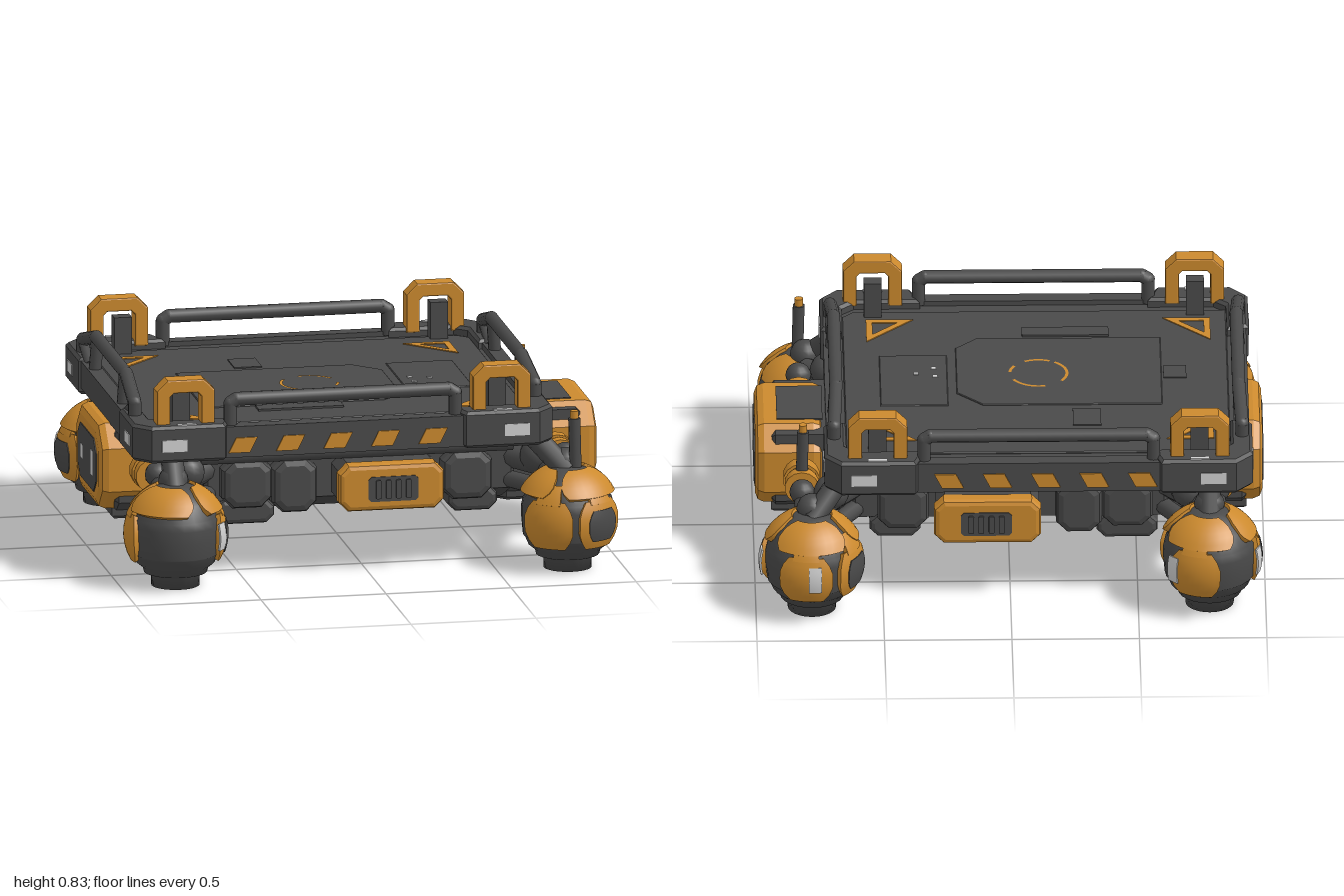
import * as THREE from 'three';

const mat = (name, color) => Object.assign(new THREE.MeshStandardMaterial({ color }), { name });

export function createModel() {
  const dark = mat('dark graphite', 0x4a4a4a);
  const orange = mat('safety orange', 0xcc8a2e);
  const light = mat('lamp white', 0xd2d2d2);
  const root = new THREE.Group();
  const CX = -0.11, SIGNS = [-1, 1];

  const add = (name, geo, m, parent = root) => {
    const mesh = new THREE.Mesh(geo, m);
    mesh.name = name;
    parent.add(mesh);
    return mesh;
  };
  const poly = pts => new THREE.Shape(pts.map(p => new THREE.Vector2(p[0], p[1])));
  // box given by its limits
  const box = (name, m, x0, x1, y0, y1, z0, z1, parent) => {
    const b = add(name, new THREE.BoxGeometry(x1 - x0, y1 - y0, z1 - z0), m, parent);
    b.position.set((x0 + x1) / 2, (y0 + y1) / 2, (z0 + z1) / 2);
    return b;
  };
  // extrusion of a plan outline given as [x, z], between two heights
  const plan = (name, m, pts, y0, y1, bevel = 0.012) => {
    const g = new THREE.ExtrudeGeometry(poly(pts.map(p => [p[0], -p[1]])), {
      depth: y1 - y0 - 2 * bevel, bevelEnabled: true, bevelSize: bevel, bevelThickness: bevel, bevelSegments: 1 });
    g.rotateX(-Math.PI / 2);
    g.translate(0, y0 + bevel, 0);
    return add(name, g, m);
  };
  const oct = (w, h, c) => [[-w + c, -h], [w - c, -h], [w, -h + c], [w, h - c], [w - c, h], [-w + c, h], [-w, h - c], [-w, -h + c]];
  // chamfered block facing +z, back at z = 0
  const block = (w, h, c, d, bevel) => {
    const g = new THREE.ExtrudeGeometry(poly(oct(w / 2 - bevel, h / 2 - bevel, c)), {
      depth: d - 2 * bevel, bevelEnabled: bevel > 0, bevelSize: bevel, bevelThickness: bevel, bevelSegments: 2 });
    return g.translate(0, 0, bevel);
  };
  // round bar between two points
  const bar = (name, m, a, b, r, parent, sides = 10) => {
    const A = new THREE.Vector3(...a), d = new THREE.Vector3(...b).sub(A);
    const t = add(name, new THREE.CylinderGeometry(r, r, d.length(), sides), m, parent);
    t.position.copy(A).addScaledVector(d, 0.5);
    t.quaternion.setFromUnitVectors(new THREE.Vector3(0, 1, 0), d.normalize());
    return t;
  };
  const rail = (name, pts, r) => pts.slice(1).forEach((p, i) => {
    bar(name, dark, pts[i], p, r);
    if (i) add(name + 'Joint', new THREE.SphereGeometry(r, 10, 8), dark).position.set(...pts[i]);
  });
  const ball = (name, m, r, x, y, z) => add(name, new THREE.SphereGeometry(r, 14, 10), m).position.set(x, y, z);

  // deck with raised panels
  box('deck', dark, -0.9, 0.68, 0.52, 0.615, -0.67, 0.67);
  plan('deckPlate', dark, [[-0.86, -0.6], [0.6, -0.6], [0.64, -0.56], [0.64, 0.56], [0.6, 0.6], [-0.86, 0.6]], 0.605, 0.622, 0.004);
  plan('centrePanel', dark, [[-0.6, -0.2], [0.1, -0.2], [0.2, -0.1], [0.2, 0.28], [0.12, 0.36], [-0.6, 0.36]], 0.615, 0.627, 0.003);
  plan('sidePanel', dark, [[0.24, -0.2], [0.5, -0.2], [0.5, 0.22], [0.24, 0.22]], 0.615, 0.626, 0.003);
  box('hatch', dark, -0.36, -0.25, 0.615, 0.627, -0.38, -0.24);
  box('hatch', dark, -0.7, -0.61, 0.615, 0.627, 0.02, 0.12);
  box('hatch', dark, -0.4, -0.06, 0.615, 0.63, 0.38, 0.45);

  // painted deck marks
  for (const sx of SIGNS) for (const sz of SIGNS) {
    const X = d => CX - 0.015 + sx * d, Z = d => 0.015 + sz * d;
    const tri = poly([[X(0.675), -Z(0.515)], [X(0.49), -Z(0.515)], [X(0.675), -Z(0.33)]]);
    tri.holes.push(new THREE.Path([[0.65, 0.49], [0.65, 0.39], [0.55, 0.49]].map(p => new THREE.Vector2(X(p[0]), -Z(p[1])))));
    const g = new THREE.ExtrudeGeometry(tri, { depth: 0.005, bevelEnabled: false });
    add('cornerTriangle', g.rotateX(-Math.PI / 2).translate(0, 0.621, 0), orange);
  }
  for (const [s, l] of [[0.5, 1.3], [2.5, 1.6], [4.3, 0.9], [5.7, 0.5]]) {
    const g = new THREE.RingGeometry(0.106, 0.118, 24, 1, s, l);
    add('deckRing', g.rotateX(-Math.PI / 2).translate(-0.12, 0.6285, 0.06), orange);
  }
  for (const [x, z] of [[0.285, 0.04], [0.36, 0.065], [0.29, 0.11]]) box('deckDot', light, x - 0.01, x + 0.01, 0.625, 0.629, z - 0.01, z + 0.01);

  // frame: corner bumpers, lamps, hoops
  for (const sx of SIGNS) for (const sz of SIGNS) {
    plan('cornerBumper', dark, [[0.828, 0.42], [0.828, 0.67], [0.77, 0.735], [0.49, 0.735], [0.46, 0.65], [0.71, 0.65], [0.765, 0.6], [0.765, 0.4]]
      .map(([u, v]) => [CX + sx * u, sz * v]), 0.505, 0.652);
    const hx = CX + sx * 0.632;
    const hoop = poly([[-0.11, 0], [-0.11, 0.145], [-0.07, 0.185], [0.07, 0.185], [0.11, 0.145], [0.11, 0],
      [0.068, 0], [0.068, 0.125], [0.05, 0.143], [-0.05, 0.143], [-0.068, 0.125], [-0.068, 0]]);
    const hg = new THREE.ExtrudeGeometry(hoop, { depth: 0.06, bevelSize: 0.006, bevelThickness: 0.008, bevelSegments: 2 });
    add('liftingHoop', hg.translate(0, 0, -0.03), orange).position.set(hx, 0.638, sz * 0.67);
    box('hoopPost', dark, hx - 0.035, hx + 0.035, 0.6, 0.77, sz * 0.585 - 0.028, sz * 0.585 + 0.028);
    const lx = CX + sx * 0.685;
    box('frontLamp', light, lx - 0.05, lx + 0.05, 0.55, 0.598, sz * 0.746 - 0.004, sz * 0.746 + 0.004);
    box('topLamp', light, hx - 0.038, hx + 0.038, 0.65, 0.656, sz * 0.726 - 0.01, sz * 0.726 + 0.01);
    const sX = CX + sx * 0.84;
    box('sideLamp', light, sX - 0.004, sX + 0.004, 0.55, 0.595, sz * 0.575 - 0.05, sz * 0.575 + 0.05);
  }

  // frame bars, hazard stripes and rails
  for (const s of SIGNS) {
    box('endBar', dark, -0.6, 0.38, 0.51, 0.635, s * 0.695 - 0.03, s * 0.695 + 0.03);
    const bx = CX + s * 0.8;
    box('sideBar', dark, bx - 0.03, bx + 0.03, 0.53, 0.64, -0.44, 0.44);
    for (let i = 0; i < 5; i++) {
      const x = -0.575 + i * 0.19;
      const g = new THREE.ExtrudeGeometry(poly([[x, 0.53], [x + 0.085, 0.53], [x + 0.115, 0.59], [x + 0.03, 0.59]]), { depth: 0.008, bevelEnabled: false });
      add('hazardStripe', g, orange).position.z = s * 0.727 - 0.004;
    }
    rail('endRail', [[-0.56, 0.62, s * 0.68], [-0.56, 0.72, s * 0.68], [-0.535, 0.736, s * 0.68], [0.315, 0.736, s * 0.68], [0.34, 0.72, s * 0.68], [0.34, 0.62, s * 0.68]], 0.027);
    const rx = CX + s * 0.79;
    rail('sideRail', [[bx, 0.63, -0.52], [bx, 0.7, -0.52], [rx, 0.762, -0.3], [rx, 0.762, 0.3], [bx, 0.7, 0.52], [bx, 0.63, 0.52]], 0.027);
    for (const z of SIGNS) {
      bar('railPost', dark, [bx, 0.62, z * 0.28], [rx, 0.762, z * 0.28], 0.025);
      bar('railBrace', dark, [bx, 0.63, z * 0.38], [bx, 0.69, z * 0.51], 0.02);
    }
  }

  // chassis: long keel under a wider middle body
  const prism = (name, pts, x0, x1) => {
    const g = new THREE.ExtrudeGeometry(poly(pts), { depth: x1 - x0 - 0.03, bevelSize: 0.015, bevelThickness: 0.015, bevelSegments: 1 });
    add(name, g.rotateY(Math.PI / 2).translate(x0 + 0.015, 0, 0), dark);
  };
  prism('keel', [[-0.17, 0.195], [0.17, 0.195], [0.22, 0.23], [0.22, 0.5], [-0.22, 0.5], [-0.22, 0.23]], -0.93, 0.93);
  prism('body', [[-0.27, 0.205], [0.27, 0.205], [0.45, 0.28], [0.45, 0.5], [-0.45, 0.5], [-0.45, 0.28]], -0.62, 0.62);
  for (const [a, b, c] of [[-0.35, -0.42, -0.92], [0.58, 0.65, 0.92]])
    plan('keelPlate', dark, [[a, -0.09], [b, -0.16], [c, -0.16], [c, 0.16], [b, 0.16], [a, 0.09]], 0.143, 0.21);

  // equipment boxes along the front and back
  for (const s of SIGNS) {
    const side = new THREE.Group();
    side.name = s > 0 ? 'frontEquipment' : 'backEquipment';
    root.add(side);
    const put = (name, m, w, h, c, d, bev, x, y, z) => {
      const b = add(name, block(w, h, c, d, bev), m, side);
      b.position.set(x, y, s * z);
      if (s < 0) b.rotation.y = Math.PI;
    };
    put('equipmentCase', dark, 0.405, 0.182, 0.028, 0.24, 0.01, 0.09, 0.345, 0.38);
    put('caseFront', orange, 0.42, 0.188, 0.025, 0.08, 0.02, 0.09, 0.345, 0.59);
    put('casePanel', dark, 0.2, 0.1, 0.012, 0.008, 0, 0.095, 0.34, 0.666);
    for (let i = 0; i < 4; i++) put('caseRib', dark, 0.022, 0.075, 0.004, 0.01, 0, 0.035 + i * 0.04, 0.34, 0.673);
    put('tank', dark, 0.18, 0.22, 0.025, 0.14, 0.03, -0.27, 0.335, 0.4);
    put('lowerBox', dark, 0.24, 0.1, 0.02, 0.2, 0.02, -0.46, 0.225, 0.28);
    put('tank', dark, 0.2, 0.2, 0.025, 0.14, 0.03, -0.46, 0.35, 0.4);
    put('tank', dark, 0.2, 0.2, 0.025, 0.14, 0.03, 0.42, 0.345, 0.4);
    put('lowerBox', dark, 0.2, 0.1, 0.02, 0.2, 0.02, 0.45, 0.235, 0.28);
    bar('pipe', dark, [-0.65, 0.47, s * 0.52], [0.6, 0.47, s * 0.52], 0.035);
  }

  // side pods with lamps and axle collars
  for (const s of SIGNS) {
    const pod = new THREE.Group();
    pod.name = s > 0 ? 'leftPod' : 'rightPod';
    pod.rotation.y = s * Math.PI / 2;
    root.add(pod);
    add('podShell', block(0.52, 0.345, 0.065, 0.265, 0.035), orange, pod).position.set(0, 0.362, 0.73);
    add('podFace', block(0.37, 0.215, 0.05, 0.008, 0), dark, pod).position.set(0, 0.357, 0.991);
    box('podTop', dark, -0.14, 0.14, 0.53, 0.538, 0.73, 0.91, pod);
    box('podLamp', light, -0.12, -0.08, 0.33, 0.385, 0.997, 1, pod);
    box('podLamp', light, 0.08, 0.12, 0.31, 0.41, 0.997, 1, pod);
    for (const z of SIGNS) {
      const x = s * 0.815;
      bar('axle', dark, [x, 0.37, z * 0.24], [x, 0.37, z * 0.6], 0.032);
      for (const [a, b, r, m] of [[0.25, 0.295, 0.055, dark], [0.29, 0.345, 0.072, orange], [0.345, 0.365, 0.06, dark], [0.365, 0.41, 0.068, orange]])
        bar('axleCollar', m, [x, 0.37, z * a], [x, 0.37, z * b], r, root, 14);
      ball('axleJoint', dark, 0.05, x, 0.4, z * 0.5);
    }
  }

  // antennas on the +x side only
  for (const z of [0.71, -0.37]) {
    bar('antenna', dark, [0.815, 0.4, z], [0.81, 0.6, z], 0.024);
    bar('antennaTip', orange, [0.81, 0.6, z], [0.81, 0.63, z], 0.017);
  }

  // armour plate bent over a sphere: azimuth half-width, polar limits, radii
  const shell = (half, t0, t1, r0, r1, taper = 0) => {
    const g = new THREE.BoxGeometry(2, 2, 1, 10, 6, 1), p = g.attributes.position;
    for (let i = 0; i < p.count; i++) {
      const v = p.getY(i), r = r0 + (p.getZ(i) + 0.5) * (r1 - r0);
      const a = p.getX(i) * half * (1 - taper * Math.max(0, Math.abs(v) - 0.5) * 2);
      const t = THREE.MathUtils.degToRad(t0 + (1 - v) / 2 * (t1 - t0)), A = THREE.MathUtils.degToRad(a);
      p.setXYZ(i, r * Math.sin(t) * Math.sin(A), r * Math.cos(t), r * Math.sin(t) * Math.cos(A));
    }
    g.computeVertexNormals();
    return g;
  };
  const profile = [[0, 0], [0.095, 0], [0.095, 0.045], [0.125, 0.055], [0.13, 0.075], [0.155, 0.095], [0.17, 0.13], [0.176, 0.135],
    [0.182, 0.2], [0.182, 0.25], [0.176, 0.28], [0.168, 0.285], [0.15, 0.345], [0.1, 0.385], [0.05, 0.405], [0, 0.405]].map(p => new THREE.Vector2(...p));

  // ball wheels: azimuths of plates, dark insets and lamps, degrees from +z towards +x
  const wheels = [
    [0.785, 0.7, [34, -36, 158], [34], [122, 176]], [0.78, -0.7, [58, 172, -116], [58, -116], [95, 183]],
    [-0.78, 0.685, [82, -95, 198], [82, 198], [54, 206]], [-0.78, -0.685, [-78, 160, 40], [-78], [-108, 134]]];
  for (const [x, z, plates, insets, lamps] of wheels) {
    const w = new THREE.Group();
    w.name = 'ballWheel';
    w.position.set(x, 0, z);
    root.add(w);
    add('wheelCore', new THREE.LatheGeometry(profile, 24), dark, w);
    const on = (name, geo, m, deg) => {
      const o = add(name, geo, m, w);
      o.position.y = 0.21;
      o.rotation.y = THREE.MathUtils.degToRad(deg);
    };
    for (const a of plates) {
      on('sidePlate', shell(31, 64, 120, 0.15, 0.205, 0.3), orange, a);
      on('plateStrap', shell(16, 44, 68, 0.15, 0.207), orange, a);
    }
    for (const a of insets) on('sidePlateInset', shell(20, 75, 110, 0.2, 0.209, 0.3), dark, a);
    for (let i = 0; i < 3; i++) on('topShell', shell(54, 22, 61, 0.15, 0.212, 0.2), orange, plates[0] + i * 120);
    for (const a of lamps) on('wheelLamp', shell(7, 74, 104, 0.202, 0.21), light, a);

    // suspension linking the wheel to deck and body
    const sx = Math.sign(x), sz = Math.sign(z);
    const top = [sx > 0 ? 0.66 : -0.78, 0.52, sz * 0.6];
    bar('suspensionStrut', dark, [x, 0.38, z], top, 0.045);
    bar('suspensionArm', dark, [x, 0.37, z - sz * 0.1], [sx * 0.56, 0.4, sz * 0.38], 0.05);
    bar('suspensionLink', dark, [sx * 0.7, 0.3, sz * 0.6], [sx * 0.55, 0.3, sz * 0.36], 0.035);
    ball('suspensionKnuckle', dark, 0.07, sx * 0.7, 0.41, sz * 0.52);
    ball('strutKnuckle', dark, 0.06, x, 0.41, z - sz * 0.04);
  }
  return root;
}
